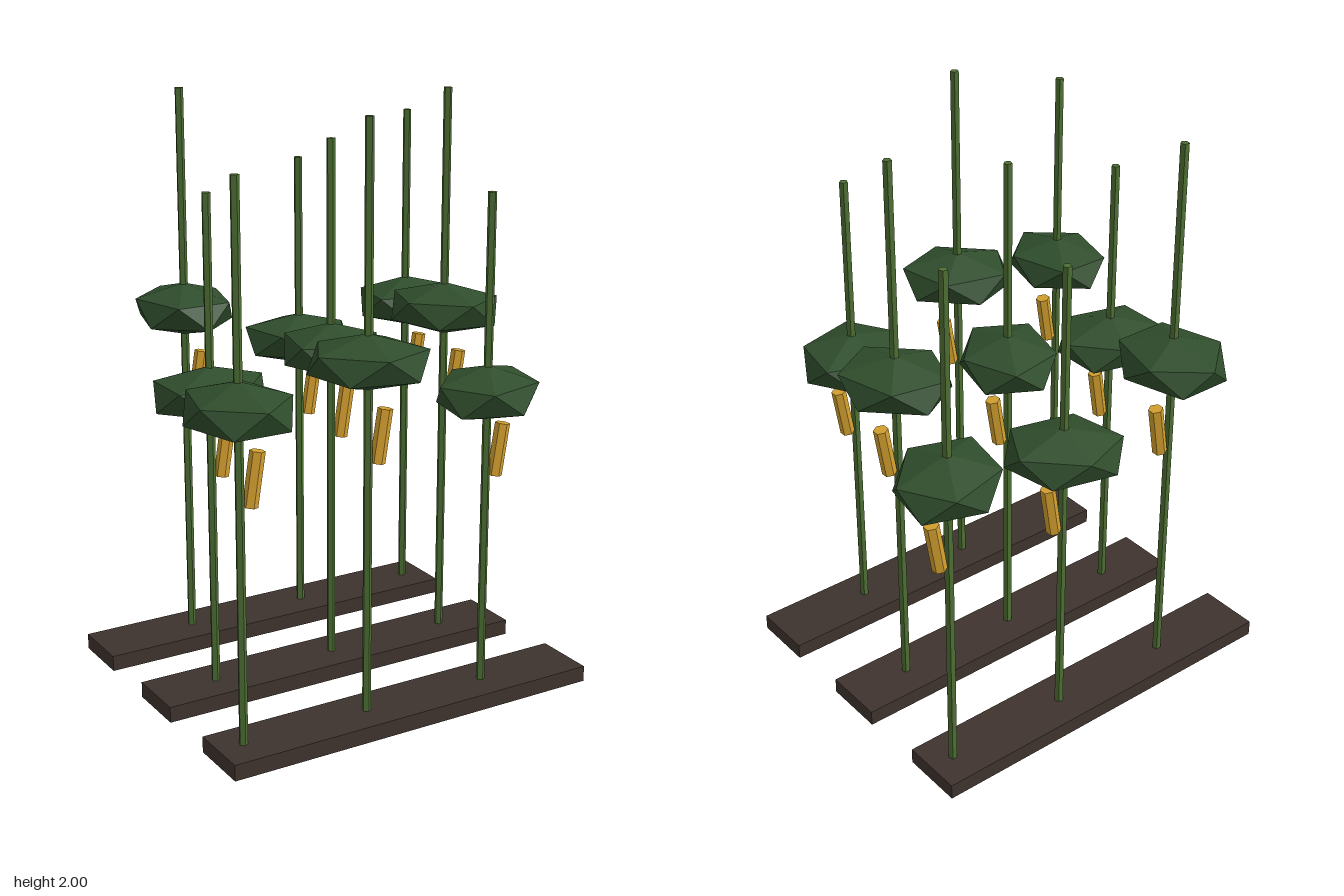
import * as THREE from 'three';

export function createModel() {
  const model = new THREE.Group();
  model.name = 'plantRows';

  const mat = (name, color) => {
    const m = new THREE.MeshStandardMaterial({ color, flatShading: true });
    m.name = name;
    return m;
  };
  const soil = mat('soil', 0x3e332d);
  const stemGreen = mat('stemGreen', 0x4d6e33);
  const leafGreen = mat('leafGreen', 0x2f4d2c);
  const podYellow = mat('podYellow', 0xd4a02f);

  const add = (parent, name, geometry, material, x, y, z) => {
    const mesh = new THREE.Mesh(geometry, material);
    mesh.name = name;
    mesh.position.set(x, y, z);
    parent.add(mesh);
    return mesh;
  };

  // Squashed leaf clump: icosahedron standing on a corner
  const clumpGeo = new THREE.IcosahedronGeometry(1, 0);
  clumpGeo.rotateZ(-Math.atan(2 / (1 + Math.sqrt(5))));
  clumpGeo.scale(0.215, 0.091, 0.183);
  const podGeo = new THREE.CylinderGeometry(0.025, 0.025, 0.178, 6);
  const bedGeo = new THREE.BoxGeometry(1.365, 0.055, 0.22);

  for (let row = 0; row < 3; row++) {
    const z = 0.455 * (1 - row);
    add(model, 'soilBed', bedGeo, soil, -0.0135, 0.0275, z);

    for (let col = 0; col < 3; col++) {
      // Three growth sizes, shifted by one in each row
      const size = ((col - row + 4) % 3) - 1;
      const plant = new THREE.Group();
      plant.name = 'plant';
      plant.position.set(-0.607 + 0.457 * col + 0.137 * row, 0, z);
      model.add(plant);

      const top = 1.865 + 0.135 * size;
      const stemGeo = new THREE.CylinderGeometry(0.015, 0.015, top - 0.05, 5);
      add(plant, 'stem', stemGeo, stemGreen, 0, (top + 0.05) / 2, 0);

      const clump = add(plant, 'leafClump', clumpGeo, leafGreen, 0, 1.157 + 0.084 * size, 0);
      clump.rotation.y = THREE.MathUtils.degToRad(-90 + 90 * row + 60 * col);

      const pod = add(plant, 'pod', podGeo, podYellow, 0.05, 0.932 + 0.061 * size, 0);
      pod.rotation.z = -0.16;
    }
  }
  return model;
}
